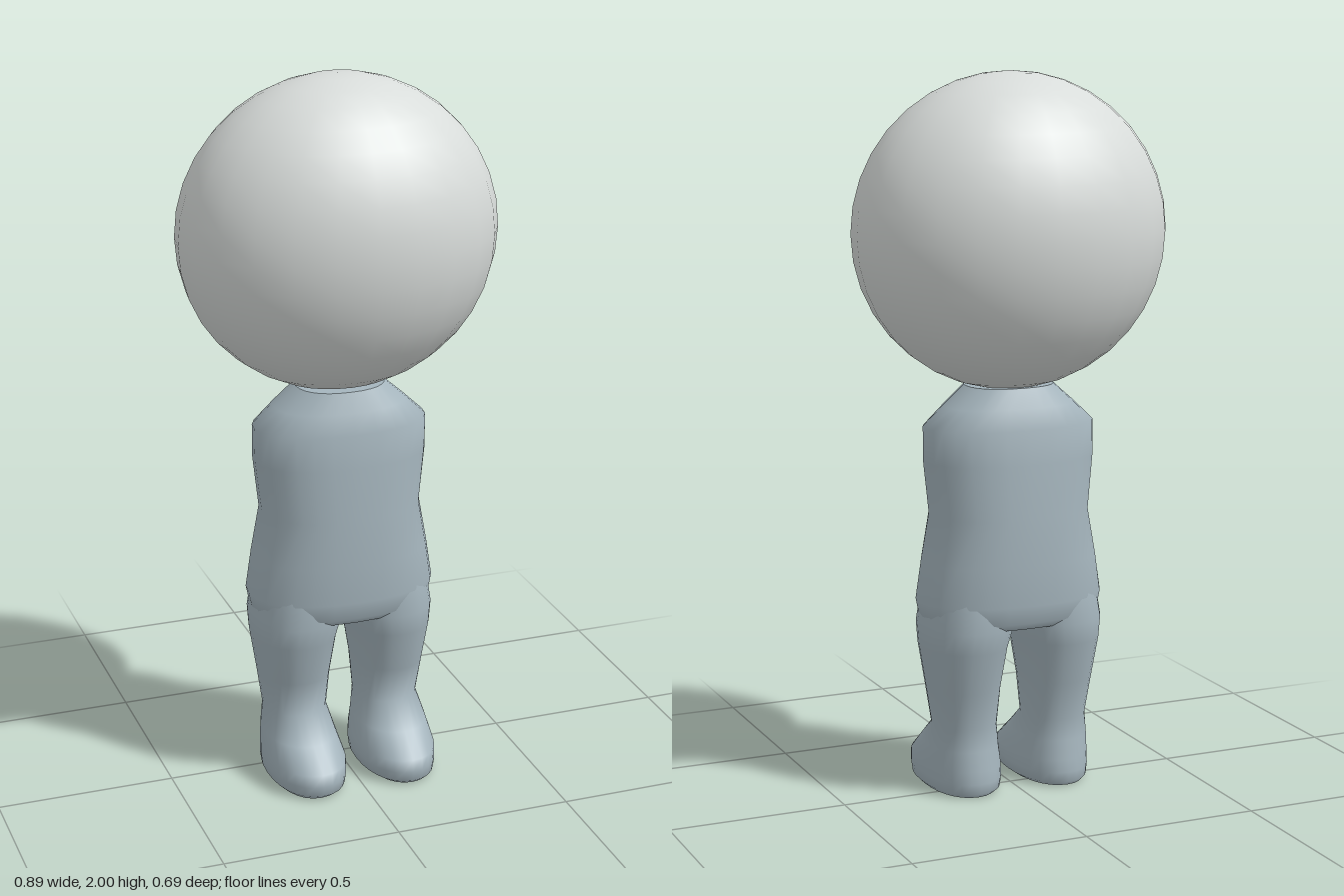
import * as THREE from 'three';

const SEGMENTS = 28;

// Skins a stack of rounded cross-sections, listed from the bottom up.
// Each row is [y, xMin, xMax, zBack, zFront]; power 2 is an ellipse, higher is boxier.
function loft(rows, power) {
  const positions = [];
  const indices = [];
  const addRing = ([y, x0, x1, z0, z1]) => {
    const start = positions.length / 3;
    for (let j = 0; j < SEGMENTS; j++) {
      const a = (j / SEGMENTS) * Math.PI * 2;
      const bend = (v) => Math.sign(v) * Math.pow(Math.abs(v), 2 / power);
      positions.push(
        (x0 + x1) / 2 + (bend(Math.cos(a)) * (x1 - x0)) / 2,
        y,
        (z0 + z1) / 2 + (bend(Math.sin(a)) * (z1 - z0)) / 2
      );
    }
    return start;
  };
  const addCap = (row, facesUp) => {
    const start = addRing(row);
    const centre = positions.length / 3;
    positions.push((row[1] + row[2]) / 2, row[0], (row[3] + row[4]) / 2);
    for (let j = 0; j < SEGMENTS; j++) {
      const a = start + j;
      const b = start + ((j + 1) % SEGMENTS);
      if (facesUp) indices.push(centre, b, a);
      else indices.push(centre, a, b);
    }
  };

  const starts = rows.map(addRing);
  for (let i = 0; i < rows.length - 1; i++) {
    for (let j = 0; j < SEGMENTS; j++) {
      const k = (j + 1) % SEGMENTS;
      const a = starts[i] + j, b = starts[i] + k;
      const c = starts[i + 1] + j, d = starts[i + 1] + k;
      indices.push(a, c, b, b, c, d);
    }
  }
  addCap(rows[0], false);
  addCap(rows[rows.length - 1], true);

  const geometry = new THREE.BufferGeometry();
  geometry.setAttribute('position', new THREE.Float32BufferAttribute(positions, 3));
  geometry.setIndex(indices);
  geometry.computeVertexNormals();
  return geometry;
}

export function createModel() {
  const model = new THREE.Group();
  model.name = 'bigHeadFigure';

  const headGrey = new THREE.MeshStandardMaterial({ color: 0xd8dcda });
  headGrey.name = 'pale grey';
  const suitBlue = new THREE.MeshStandardMaterial({ color: 0xa5b5bd });
  suitBlue.name = 'blue grey';

  const add = (name, geometry, material) => {
    const mesh = new THREE.Mesh(geometry, material);
    mesh.name = name;
    model.add(mesh);
    return mesh;
  };

  // Large head, flattened front to back
  const head = add('head', new THREE.SphereGeometry(1, 24, 18), headGrey);
  head.scale.set(0.445, 0.433, 0.346);
  head.position.set(0, 1.567, 0);

  // Torso from hips to sloping shoulders
  const torsoRows = [
    [0.48, -0.235, 0.235, -0.135, 0.16],
    [0.5, -0.257, 0.257, -0.153, 0.178],
    [0.55, -0.267, 0.267, -0.16, 0.185],
    [0.66, -0.25, 0.25, -0.16, 0.184],
    [0.79, -0.226, 0.226, -0.153, 0.178],
    [0.94, -0.244, 0.244, -0.141, 0.165],
    [1.035, -0.245, 0.245, -0.13, 0.155],
    [1.09, -0.187, 0.187, -0.112, 0.135],
    [1.145, -0.125, 0.125, -0.088, 0.112],
  ];
  add('torso', loft(torsoRows, 2.3), suitBlue);

  // Legs running into forward-pointing feet
  const legRows = [
    [0, 0.045, 0.228, -0.092, 0.25],
    [0.012, 0.028, 0.24, -0.104, 0.264],
    [0.04, 0.024, 0.244, -0.105, 0.266],
    [0.075, 0.024, 0.244, -0.101, 0.262],
    [0.13, 0.036, 0.237, -0.092, 0.188],
    [0.19, 0.048, 0.225, -0.084, 0.11],
    [0.3, 0.04, 0.24, -0.108, 0.134],
    [0.42, 0.022, 0.258, -0.135, 0.16],
    [0.48, 0.004, 0.262, -0.146, 0.17],
    [0.56, 0, 0.25, -0.135, 0.16],
  ];
  for (const [name, side] of [['leftLeg', 1], ['rightLeg', -1]]) {
    const rows = legRows.map(([y, x0, x1, z0, z1]) =>
      side > 0 ? [y, x0, x1, z0, z1] : [y, -x1, -x0, z0, z1]);
    add(name, loft(rows, 2.2), suitBlue);
  }

  return model;
}
